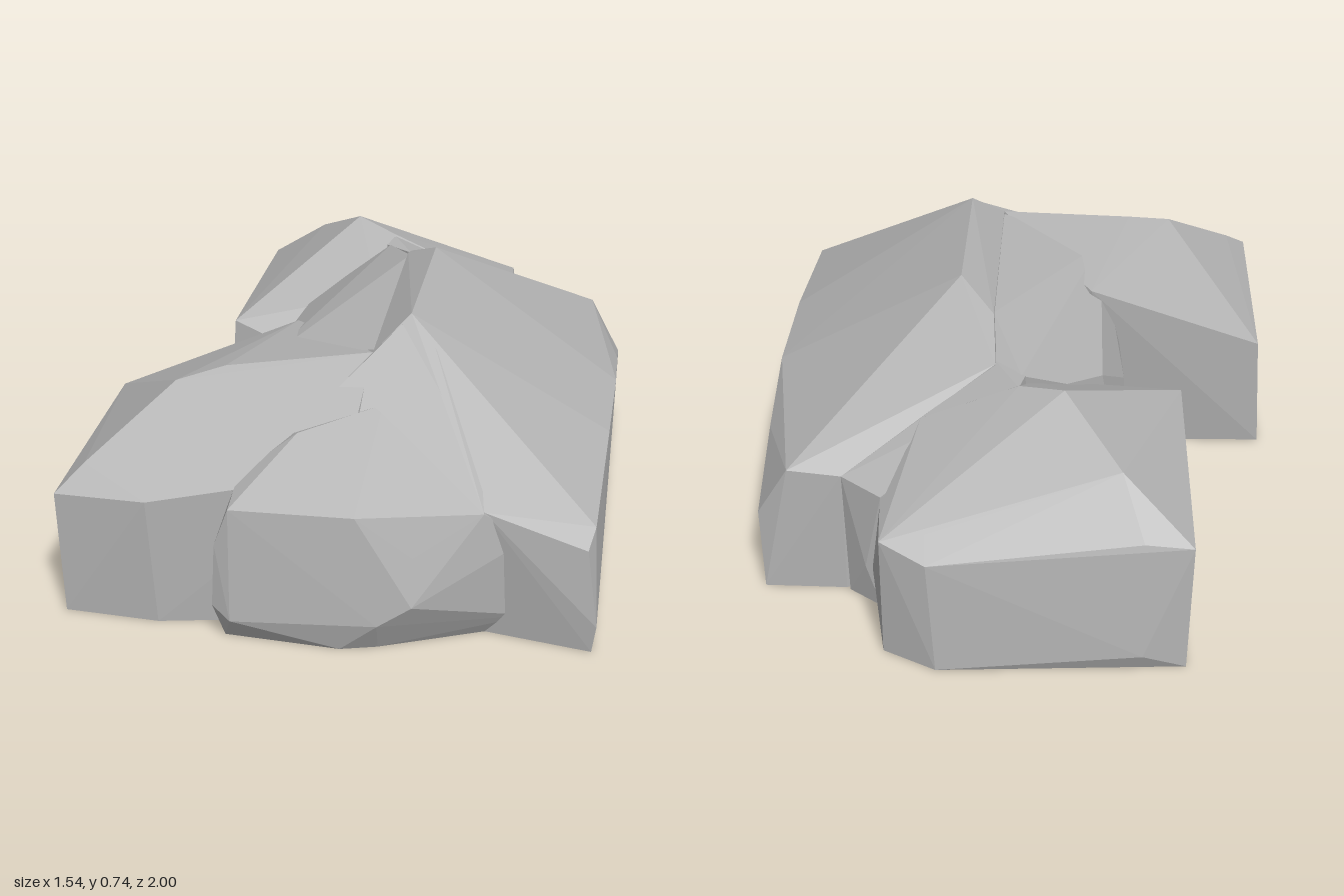
import * as THREE from 'three';
import { ConvexGeometry } from 'three/addons/geometries/ConvexGeometry.js';

const stone = new THREE.MeshStandardMaterial({ color: 0xb4b4b4 });
stone.name = 'grey stone';
stone.flatShading = true;

// One faceted boulder, hulled from its corner points
function boulder(name, corners) {
  const points = corners.map(([x, y, z]) => new THREE.Vector3(x, y, z));
  const mesh = new THREE.Mesh(new ConvexGeometry(points), stone);
  mesh.name = name;
  return mesh;
}

export function createModel() {
  const group = new THREE.Group();
  group.name = 'rockFormation';

  // Tall long boulder with the crest and the sloping flank
  group.add(boulder('crestBoulder', [
    [0.19, 0.735, -0.1], [0.15, 0.735, 0.42],
    [0.05, 0.65, 0.5], [0.1, 0.67, -0.22], [0.1, 0.61, -0.4],
    [0.68, 0.39, -0.58], [0.53, 0.38, -0.6], [0.77, 0.23, -0.54], [0.76, 0, -0.57],
    [0.752, 0.33, -0.25], [0.735, 0.39, 0.05], [0.705, 0.39, 0.4], [0.66, 0.34, 0.87],
    [0.64, 0.3, 0.93], [0.67, 0.08, 0.94], [0.66, 0, 0.93],
    [0.37, 0.385, 0.9], [0.54, 0.02, 0.87], [0.5, 0, 0.84], [0.2, 0, 0.8],
    [0.3, 0, -0.5], [0.53, 0, -0.59], [0.1, 0, -0.3], [0.1, 0, 0.5],
  ]));

  // Low saddle joining the boulders, falling away from the crest
  group.add(boulder('saddle', [
    [-0.29, 0, -0.2], [-0.28, 0, 0.2], [-0.29, 0.36, -0.06], [-0.29, 0.38, 0.15],
    [-0.25, 0.46, 0.02], [-0.2, 0.56, 0.12], [-0.21, 0.48, -0.25], [-0.1, 0.53, -0.38],
    [0.03, 0.605, -0.46], [0.1, 0.665, -0.2], [0.05, 0.65, 0.48], [-0.25, 0.58, 0.4],
    [0.3, 0, -0.5], [0.3, 0.5, -0.4], [0.3, 0, 0.5], [0.3, 0.5, 0.4],
  ]));

  // Side boulder
  group.add(boulder('sideBoulder', [
    [-0.74, 0, 0.15], [-0.72, 0.36, 0.13], [-0.77, 0.36, 0.84], [-0.76, 0, 0.83],
    [-0.7, 0.42, 0.77], [-0.52, 0.365, 0.88], [-0.5, 0, 0.87], [-0.43, 0.4, 0.83],
    [-0.35, 0.3, 0.83], [-0.33, 0, 0.84], [-0.48, 0.58, 0.57], [-0.35, 0.61, 0.53],
    [0.05, 0.65, 0.5], [-0.2, 0.57, 0.1], [-0.35, 0.48, 0.15], [-0.34, 0, 0.17],
    [0, 0.45, 0.84], [0.1, 0, 0.8], [0.1, 0, 0.3],
  ]));

  // Slope that fills the corner between crest, side and front boulders
  group.add(boulder('frontSlope', [
    [0.05, 0.65, 0.5], [0.15, 0.73, 0.42], [0.22, 0.67, 0.5], [0.35, 0.5, 0.7],
    [0.37, 0.385, 0.91], [0.09, 0.56, 0.64], [-0.2, 0.46, 0.76],
    [0, 0.3, 0.85], [0.35, 0.3, 0.6], [-0.2, 0.3, 0.6],
  ]));

  // Rear boulder
  group.add(boulder('rearBoulder', [
    [-0.4, 0.38, -0.98], [-0.39, 0, -0.98], [-0.27, 0.39, -0.97], [-0.27, 0.05, -1],
    [-0.22, 0.53, -0.84], [-0.08, 0.645, -0.61], [0.04, 0.615, -0.53],
    [0.3, 0.39, -0.9], [0.3, 0.33, -0.96], [0.28, 0, -0.97],
    [0.42, 0.37, -0.9], [0.42, 0, -0.88], [0.42, 0.38, -0.75], [0.31, 0.5, -0.5],
    [-0.44, 0.42, -0.24], [-0.45, 0.25, -0.23], [-0.42, 0, -0.25],
    [-0.3, 0.38, -0.18], [-0.29, 0, -0.2], [0, 0.5, -0.3],
    [0.45, 0.13, -0.68], [0.44, 0, -0.68], [0.3, 0, -0.4],
  ]));

  // Wedge that fills the valley between crest and rear boulders
  group.add(boulder('rearWedge', [
    [0.02, 0.605, -0.46], [0.04, 0.61, -0.53], [0.1, 0.61, -0.38], [0.31, 0.5, -0.5],
    [0.53, 0.38, -0.6], [0.42, 0.375, -0.7], [0.47, 0.13, -0.67],
    [0.52, 0, -0.6], [0.43, 0, -0.68], [0.2, 0, -0.5], [0, 0.3, -0.5],
  ]));

  // Front boulder with an undercut foot
  group.add(boulder('frontBoulder', [
    [0.09, 0.56, 0.64], [-0.13, 0.52, 0.75], [-0.28, 0.42, 0.8],
    [-0.29, 0.39, 0.95], [0.04, 0.39, 0.97], [0.37, 0.385, 0.91],
    [-0.33, 0.28, 0.94], [-0.34, 0.1, 0.94], [-0.31, 0, 0.92], [-0.29, 0.07, 0.97],
    [0.19, 0.28, 0.97], [0.19, 0.15, 1], [0.1, 0.09, 1], [0, 0, 0.97], [0.1, 0, 0.95],
    [0.38, 0, 0.85], [0.5, 0.05, 0.84], [0.49, 0.3, 0.87], [0.4, 0, 0.5], [0.3, 0.4, 0.5],
    [-0.25, 0, 0.5], [-0.25, 0.4, 0.5],
  ]));

  return group;
}
